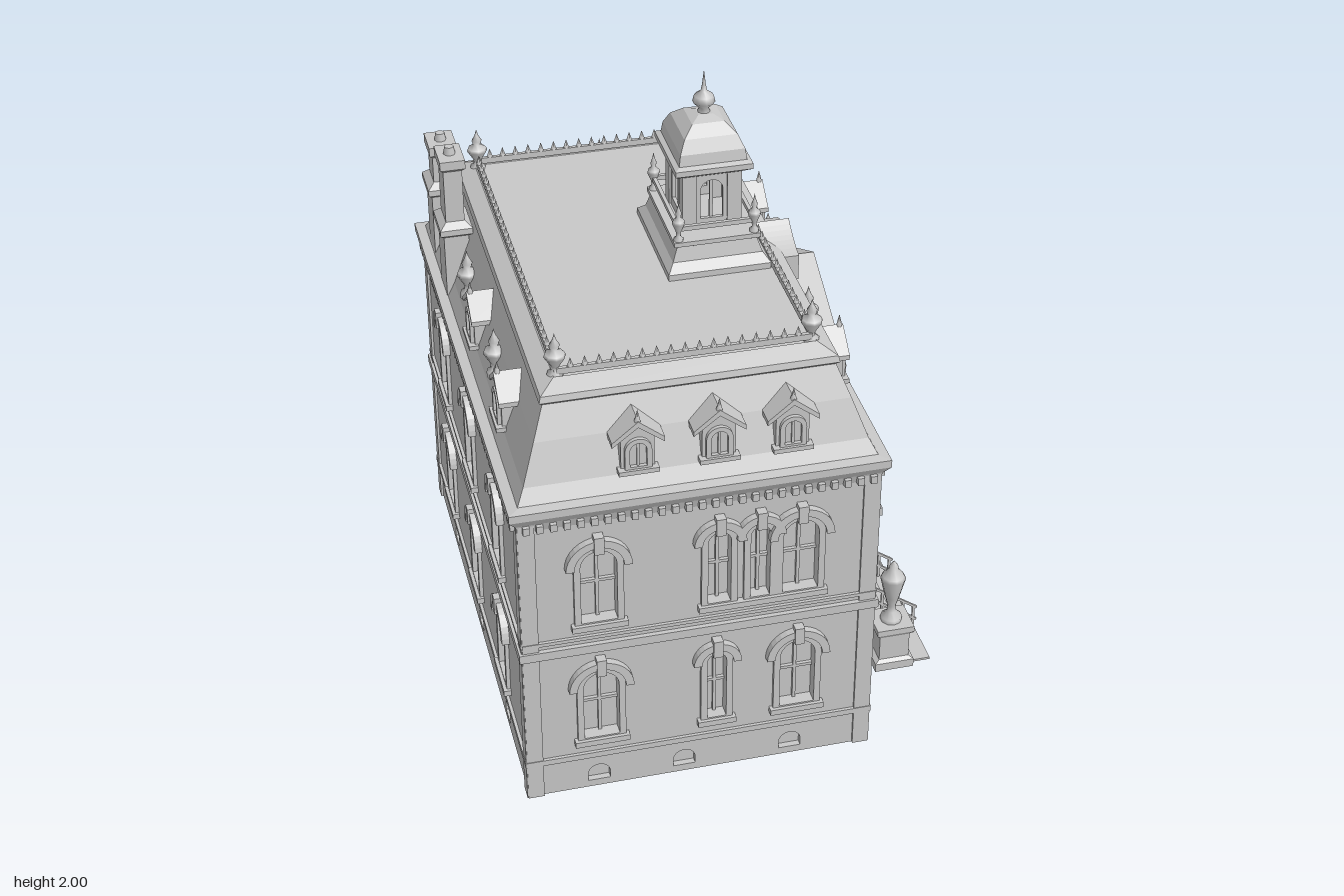
import * as THREE from 'three';

const stone = new THREE.MeshStandardMaterial({ color: 0xc8c8c8, side: THREE.DoubleSide });
stone.name = 'pale grey stone';

function add(parent, name, geo, x = 0, y = 0, z = 0) {
  const m = new THREE.Mesh(geo, stone);
  m.name = name;
  m.position.set(x, y, z);
  parent.add(m);
  return m;
}
const box = (p, name, w, h, d, x, y, z) => add(p, name, new THREE.BoxGeometry(w, h, d), x, y, z);

// Rectangular cross-sections [halfX, halfZ, y] joined into a faceted shell
function loft(rings, cap = true) {
  const pos = [], idx = [];
  for (const [a, b, y] of rings) pos.push(a, y, b, a, y, -b, -a, y, -b, -a, y, b);
  for (let r = 0; r < rings.length - 1; r++)
    for (let i = 0; i < 4; i++) {
      const a = r * 4 + i, b = r * 4 + (i + 1) % 4;
      idx.push(a, b, b + 4, a, b + 4, a + 4);
    }
  const t = (rings.length - 1) * 4;
  if (cap) idx.push(t, t + 1, t + 2, t, t + 2, t + 3);
  const g = new THREE.BufferGeometry();
  g.setAttribute('position', new THREE.Float32BufferAttribute(pos, 3));
  g.setIndex(idx);
  const flat = g.toNonIndexed();
  flat.computeVertexNormals();
  return flat;
}

const poly = pts => new THREE.Shape(pts.map(p => new THREE.Vector2(...p)));
const extrude = (shape, depth) =>
  new THREE.ExtrudeGeometry(shape, { depth, bevelEnabled: false, curveSegments: 8 });

// Round-headed outline
function arch(u, y0, y1, w, T = THREE.Shape) {
  const s = new T(), r = w / 2;
  s.moveTo(u - r, y0);
  s.lineTo(u + r, y0);
  s.lineTo(u + r, y1 - r);
  s.absarc(u, y1 - r, r, 0, Math.PI, false);
  s.lineTo(u - r, y0);
  return s;
}

// Band shaped like an inverted V, used for gable edges
const chevron = (u, y, half, rise, t) =>
  poly([[u - half, y], [u, y + rise - t], [u + half, y], [u + half, y + t * 0.8], [u, y + rise], [u - half, y + t * 0.8]]);

function lathe(p, name, pts, x, y, z, seg = 10) {
  return add(p, name, new THREE.LatheGeometry(pts.map(q => new THREE.Vector2(...q)), seg), x, y, z);
}
const finial = (p, x, y, z, h, r) => lathe(p, 'finial',
  [[0.75, 0], [0.75, 0.12], [0.35, 0.18], [0.4, 0.28], [1, 0.5], [0.9, 0.56], [0.35, 0.64], [0.5, 0.74], [0.2, 0.86], [0, 1]]
    .map(([a, b]) => [a * r, b * h]), x, y, z, 8);

// One wall with openings, frames and panes; +z is outwards
function facade(p, half, out, windows, vents) {
  const wall = poly([[-half, 0], [half, 0], [half, 1.08], [-half, 1.08]]);
  for (const [u, y0, y1, w] of windows) {
    wall.holes.push(arch(u, y0, y1, w, THREE.Path));
    const f = arch(u, y0 - 0.015, y1 + 0.02, w + 0.04);
    f.holes.push(arch(u, y0, y1, w, THREE.Path));
    add(p, 'windowFrame', extrude(f, 0.012), 0, 0, out);
    add(p, 'windowPane', new THREE.ShapeGeometry(arch(u, y0, y1, w)), 0, 0, out - 0.03);
    box(p, 'mullion', 0.01, y1 - y0, 0.012, u, (y0 + y1) / 2, out - 0.025);
    box(p, 'transom', w, 0.01, 0.012, u, (y0 + y1) / 2, out - 0.025);
    box(p, 'sill', w + 0.06, 0.02, 0.03, u, y0 - 0.015, out + 0.008);
    // hood mould and keystone
    const r = w / 2 + 0.02, hood = new THREE.Shape();
    hood.absarc(u, y1 - w / 2, r + 0.025, 0, Math.PI, false);
    hood.absarc(u, y1 - w / 2, r, Math.PI, 0, true);
    add(p, 'hoodMould', extrude(hood, 0.024), 0, 0, out);
    box(p, 'keystone', 0.03, 0.06, 0.035, u, y1 + 0.03, out + 0.012);
  }
  for (const u of vents) {
    wall.holes.push(arch(u, 0.025, 0.085, 0.07, THREE.Path));
    add(p, 'basementPane', new THREE.ShapeGeometry(arch(u, 0.025, 0.085, 0.07)), 0, 0, out - 0.02);
  }
  add(p, 'wall', extrude(wall, 0.04), 0, 0, out - 0.04);
  box(p, 'plinthBand', 2 * half + 0.02, 0.02, 0.02, 0, 0.135, out);
  box(p, 'beltCourse', 2 * half + 0.03, 0.03, 0.03, 0, 0.56, out);
  box(p, 'upperBand', 2 * half + 0.01, 0.012, 0.02, 0, 0.6, out);
  for (const s of [-1, 1]) box(p, 'cornerPilaster', 0.05, 1.05, 0.016, s * (half - 0.02), 0.525, out);
  const n = Math.round(half * 2 / 0.04);
  for (let i = 0; i < n; i++)
    box(p, 'dentil', 0.02, 0.025, 0.02, -half + (i + 0.5) * 2 * half / n, 1.035, out + 0.012);
}

function dormer(p, u, out) {
  const g = new THREE.Group();
  g.name = 'dormer';
  g.position.set(u, 0, out);
  p.add(g);
  add(g, 'dormerBody', extrude(poly([[-0.05, 1.16], [0.05, 1.16], [0.05, 1.27], [0, 1.32], [-0.05, 1.27]]), 0.14), 0, 0, -0.15);
  add(g, 'dormerRoof', extrude(chevron(0, 1.255, 0.078, 0.08, 0.02), 0.15), 0, 0, -0.148);
  const f = arch(0, 1.165, 1.275, 0.08);
  f.holes.push(arch(0, 1.18, 1.26, 0.05, THREE.Path));
  add(g, 'dormerFrame', extrude(f, 0.012), 0, 0, -0.01);
  box(g, 'dormerMullion', 0.008, 0.08, 0.008, 0, 1.22, -0.008);
  box(g, 'dormerSill', 0.12, 0.015, 0.03, 0, 1.165, -0.005);
  add(g, 'dormerSpike', new THREE.ConeGeometry(0.01, 0.04, 6), 0, 1.35, -0.01);
}

function chimney(p, x, z, a, b, top) {
  add(p, 'chimney', loft([[a, b, 1.1], [a, b, 1.32], [a + 0.012, b + 0.012, 1.33], [a + 0.012, b + 0.012, 1.35],
    [a - 0.01, b - 0.01, 1.37], [a - 0.01, b - 0.01, top - 0.04], [a, b, top - 0.03], [a, b, top]]), x, 0, z);
  add(p, 'chimneyPot', new THREE.CylinderGeometry(0.015, 0.02, 0.03, 8), x, top + 0.01, z);
}

export function createModel() {
  const root = new THREE.Group();
  root.name = 'mansion';
  const house = new THREE.Group();
  house.name = 'house';
  house.position.x = -0.15;
  root.add(house);
  const HX = 0.54, HZ = 0.82;
  const side = (name, turn) => {
    const g = new THREE.Group();
    g.name = name;
    g.rotation.y = turn * Math.PI / 2;
    house.add(g);
    return g;
  };

  // Two short sides, mirrored
  for (const s of [1, -1]) {
    const g = side(s > 0 ? 'frontSide' : 'backSide', s > 0 ? 0 : 2);
    const wins = [[-0.31, 0.66, 0.92, 0.11], [0.055, 0.66, 0.92, 0.07], [0.18, 0.66, 0.92, 0.06], [0.305, 0.66, 0.92, 0.11],
      [-0.31, 0.21, 0.46, 0.11], [0.05, 0.21, 0.46, 0.06], [0.305, 0.21, 0.46, 0.11]];
    facade(g, HX, HZ, wins.map(([u, ...r]) => [s * u, ...r]), [-0.32, -0.05, 0.29].map(u => s * u));
    for (const u of [-0.18, 0.06, 0.28]) dormer(g, s * u, 0.8);
  }
  // Entrance side
  const ent = side('entranceSide', 1);
  const entWins = [];
  for (const u of [-0.6, 0.6]) entWins.push([u, 0.66, 0.92, 0.11], [u, 0.21, 0.46, 0.11]);
  for (const u of [-0.2, 0, 0.2]) entWins.push([u, 0.66, 0.92, 0.11]);
  for (const u of [-0.24, 0, 0.24]) entWins.push([u, 0.15, 0.44, 0.13]);
  facade(ent, HZ, HX, entWins, [-0.6, 0.6]);
  for (const u of [-0.37, 0.37]) box(ent, 'bayPilaster', 0.05, 1.05, 0.03, u, 0.525, HX);
  for (const u of [-0.45, 0.45]) dormer(ent, u, 0.53);
  // Far side
  const far = side('farSide', 3);
  const farWins = [];
  for (const u of [-0.47, 0, 0.47]) farWins.push([u, 0.66, 0.92, 0.11], [u, 0.21, 0.46, 0.11]);
  facade(far, HZ, HX, farWins, [-0.47, 0, 0.47]);
  for (const u of [0, 0.45]) dormer(far, u, 0.53);

  // Pediment and the small gable above it
  add(ent, 'pediment', extrude(poly([[-0.34, 1.09], [0.34, 1.09], [0, 1.29]]), 0.33), 0, 0, 0.22);
  add(ent, 'pedimentRake', extrude(chevron(0, 1.1, 0.37, 0.215, 0.035), 0.36), 0, 0, 0.215);
  box(ent, 'pedimentBase', 0.74, 0.025, 0.05, 0, 1.1, 0.55);
  add(ent, 'pedimentWindow', extrude(arch(0, 1.15, 1.21, 0.06), 0.012), 0, 0, 0.55);
  for (const s of [-1, 1]) for (let i = 1; i < 9; i++)
    box(ent, 'pedimentDentil', 0.018, 0.02, 0.018, s * i * 0.036, 1.268 - i * 0.0205, 0.558);
  const crown = new THREE.Shape();
  crown.moveTo(-0.12, 1.3);
  crown.lineTo(0.12, 1.3);
  crown.lineTo(0.12, 1.385);
  crown.quadraticCurveTo(0.06, 1.4, 0, 1.45);
  crown.quadraticCurveTo(-0.06, 1.4, -0.12, 1.385);
  add(ent, 'upperGable', extrude(crown, 0.13), 0, 0, 0.36);

  // Cornice, mansard roof and flat top
  add(house, 'cornice', loft([[0.54, 0.82, 1.02], [0.55, 0.83, 1.05], [0.57, 0.845, 1.075], [0.57, 0.845, 1.1], [0.53, 0.81, 1.105]], false));
  add(house, 'mansardRoof', loft([[0.54, 0.815, 1.1], [0.515, 0.785, 1.15], [0.472, 0.74, 1.27], [0.435, 0.695, 1.365],
    [0.445, 0.705, 1.375], [0.44, 0.7, 1.395], [0.39, 0.645, 1.42], [0.38, 0.635, 1.41]]));

  // Roof cresting with corner finials, and urns on the slopes
  for (const s of [-1, 1]) {
    box(house, 'crestingRail', 0.76, 0.02, 0.012, 0, 1.43, s * 0.63);
    box(house, 'crestingRail', 0.012, 0.02, 1.26, s * 0.38, 1.43, 0);
    for (let i = 1; i < 18; i++)
      add(house, 'crestingSpike', new THREE.ConeGeometry(0.01, 0.03, 4), -0.38 + i * 0.0422, 1.455, s * 0.63);
    for (let i = 1; i < 30; i++)
      add(house, 'crestingSpike', new THREE.ConeGeometry(0.01, 0.03, 4), s * 0.38, 1.455, -0.63 + i * 0.042);
    for (const t of [-1, 1]) {
      finial(house, s * 0.38, 1.4, t * 0.62, 0.15, 0.033);
      finial(house, s * 0.49, 1.17, t * 0.23, 0.17, 0.035);
    }
  }
  chimney(root, -0.64, -0.675, 0.045, 0.055, 1.5);
  chimney(root, -0.65, -0.415, 0.04, 0.058, 1.59);

  // Cupola
  const cup = new THREE.Group();
  cup.name = 'cupola';
  cup.position.x = 0.065;
  root.add(cup);
  add(cup, 'cupolaBase', loft([[0.16, 0.21, 1.4], [0.16, 0.21, 1.43], [0.14, 0.18, 1.455], [0.125, 0.17, 1.5], [0.135, 0.178, 1.505], [0.135, 0.178, 1.52]]));
  for (const s of [-1, 1]) {
    box(cup, 'cupolaRail', 0.25, 0.015, 0.012, 0, 1.56, s * 0.16);
    box(cup, 'cupolaRail', 0.012, 0.015, 0.32, s * 0.118, 1.56, 0);
    for (const t of [-1, 1]) {
      finial(cup, s * 0.118, 1.51, t * 0.16, 0.14, 0.02);
      box(cup, 'cupolaPier', 0.045, 0.21, 0.045, s * 0.07, 1.615, t * 0.085);
    }
    const fz = arch(0, 1.52, 1.72, 0.16), fx = arch(0, 1.52, 1.72, 0.19);
    for (const [w, half, turn, d] of [[0.07, 0.08, 0, 0.09], [0.09, 0.1, 1, 0.075]]) {
      const screen = poly([[-half, 1.52], [half, 1.52], [half, 1.72], [-half, 1.72]]);
      screen.holes.push(arch(0, 1.55, 1.68, w, THREE.Path));
      const m = add(cup, 'cupolaScreen', extrude(screen, 0.012), turn ? s * d : 0, 0, turn ? 0 : s * d);
      m.rotation.y = (turn ? s * Math.PI / 2 : (s > 0 ? 0 : Math.PI));
      box(cup, 'cupolaMullion', 0.01, 0.15, 0.01, turn ? s * d : 0, 1.61, turn ? 0 : s * d);
    }
  }
  add(cup, 'cupolaRoof', loft([[0.09, 0.105, 1.7], [0.12, 0.135, 1.72], [0.12, 0.135, 1.738], [0.105, 0.118, 1.745],
    [0.1, 0.112, 1.78], [0.082, 0.09, 1.82], [0.05, 0.055, 1.85], [0.022, 0.022, 1.862]]));
  lathe(cup, 'cupolaSpire', [[0.022, 1.855], [0.015, 1.875], [0.035, 1.895], [0.03, 1.915], [0.01, 1.93], [0.006, 1.95], [0, 2]], 0, 0, 0);

  // Porch with columns and balcony
  const porch = new THREE.Group();
  porch.name = 'porch';
  root.add(porch);
  box(porch, 'porchFloor', 0.16, 0.14, 0.86, 0.46, 0.07, 0);
  box(porch, 'entablature', 0.13, 0.06, 0.81, 0.445, 0.545, 0);
  box(porch, 'balconySlab', 0.16, 0.03, 0.87, 0.465, 0.59, 0);
  for (const z of [-0.37, -0.14, 0.14, 0.37]) {
    lathe(porch, 'column', [[0.04, 0.14], [0.04, 0.17], [0.029, 0.185], [0.03, 0.3], [0.025, 0.485], [0.038, 0.5], [0.038, 0.52]], 0.475, 0, z, 14);
    box(porch, 'columnBase', 0.085, 0.025, 0.085, 0.475, 0.15, z);
  }
  for (const y of [0.612, 0.68]) {
    box(porch, 'balconyRail', 0.03, 0.015, 0.8, 0.495, y, 0);
    for (const s of [-1, 1]) box(porch, 'balconyRail', 0.11, 0.015, 0.03, 0.44, y, s * 0.385);
  }
  const baluster = (x, z) => lathe(porch, 'baluster', [[0.006, 0.612], [0.012, 0.635], [0.006, 0.66], [0.009, 0.68]], x, 0, z, 6);
  for (let i = 0; i < 26; i++) baluster(0.495, -0.375 + i * 0.03);
  for (const s of [-1, 1]) {
    for (const x of [0.41, 0.44, 0.465]) baluster(x, s * 0.385);
    box(porch, 'balconyPost', 0.045, 0.09, 0.045, 0.495, 0.645, s * 0.385);
    finial(porch, 0.495, 0.68, s * 0.385, 0.065, 0.022);
  }

  // Steps, railings and urn pedestals
  box(porch, 'groundSlab', 0.19, 0.008, 1.15, 0.618, 0.004, -0.075);
  for (let i = 0; i < 5; i++)
    box(porch, 'step', 0.034, 0.012, 0.82, 0.55 + i * 0.034, 0.122 - i * 0.026, -0.04);
  for (const z of [0.36, 0.1, -0.17, -0.43]) {
    box(porch, 'stringer', 0.2, 0.016, 0.012, 0.62, 0.065, z).rotation.z = -0.65;
    for (const h of [0.05, 0.1]) box(porch, 'handrail', 0.205, 0.008, 0.008, 0.625, 0.07 + h, z).rotation.z = -0.62;
    for (let i = 0; i < 5; i++)
      box(porch, 'railPost', 0.008, 0.11, 0.008, 0.55 + i * 0.037, 0.17 - i * 0.026, z);
  }
  for (const z of [0.46, -0.555]) {
    add(porch, 'pedestal', loft([[0.065, 0.06, 0], [0.065, 0.06, 0.03], [0.05, 0.048, 0.04], [0.05, 0.048, 0.13], [0.062, 0.058, 0.145], [0.062, 0.058, 0.165]]), 0.585, 0, z);
    lathe(porch, 'urn', [[0.035, 0.165], [0.035, 0.18], [0.015, 0.2], [0.014, 0.225], [0.024, 0.26], [0.042, 0.335], [0.036, 0.345], [0.016, 0.37], [0.014, 0.385], [0, 0.405]], 0.585, 0, z);
  }
  return root;
}
